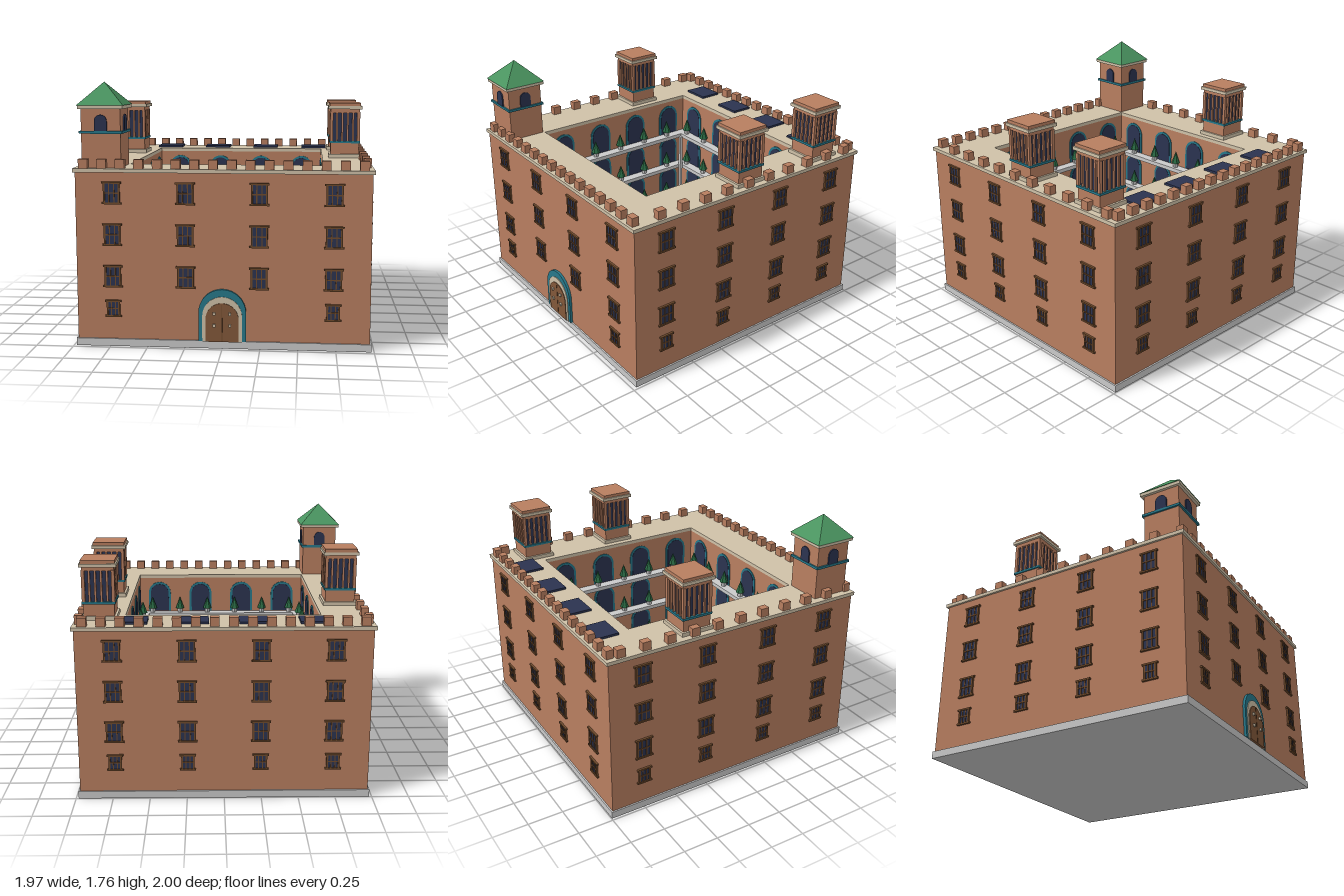
import * as THREE from 'three';

const mat = (name, color) => {
  const m = new THREE.MeshStandardMaterial({ color });
  m.name = name;
  m.flatShading = true;
  return m;
};
const brick = mat('terracotta', 0xb87e60);
const cream = mat('cream stone', 0xcfc1a8);
const grey = mat('pale grey stone', 0xcacaca);
const teal = mat('teal trim', 0x27788a);
const navy = mat('navy glass', 0x2b3350);
const green = mat('leaf green', 0x4a9460);
const dark = mat('dark green', 0x2a6a44);
const bronze = mat('window brown', 0x6e4a2c);
const wood = mat('door wood', 0x82583a);

function add(parent, name, geo, material, x = 0, y = 0, z = 0) {
  const m = new THREE.Mesh(geo, material);
  m.name = name;
  m.position.set(x, y, z);
  parent.add(m);
  return m;
}

function group(parent, name, x = 0, y = 0, z = 0, turn = 0) {
  const g = new THREE.Group();
  g.name = name;
  g.position.set(x, y, z);
  g.rotation.y = turn;
  parent.add(g);
  return g;
}

// box given by its centre in x and z and its bottom and top heights
const slab = (p, name, m, x, z, w, d, y0, y1) =>
  add(p, name, new THREE.BoxGeometry(w, y1 - y0, d), m, x, (y0 + y1) / 2, z);

// square ring seen from above, with half sizes
function ring(p, name, m, outer, inner, y0, y1) {
  const square = (C, h) => new C([[-h, -h], [h, -h], [h, h], [-h, h]].map(([x, y]) => new THREE.Vector2(x, y)));
  const shape = square(THREE.Shape, outer);
  shape.holes.push(square(THREE.Path, inner));
  const geo = new THREE.ExtrudeGeometry(shape, { depth: y1 - y0, bevelEnabled: false });
  geo.rotateX(-Math.PI / 2);
  return add(p, name, geo, m, 0, y0, 0);
}

// round-headed plate standing on y = 0, facing +z
function arch(half, spring, depth) {
  const s = new THREE.Shape();
  s.moveTo(-half, 0);
  s.lineTo(half, 0);
  s.lineTo(half, spring);
  s.absarc(0, spring, half, 0, Math.PI, false);
  s.closePath();
  return new THREE.ExtrudeGeometry(s, { depth, bevelEnabled: false, curveSegments: 8 });
}

// barred window on a wall facing +z
function barredWindow(p, x, y, z, w, h) {
  const g = group(p, 'barredWindow', x, y, z);
  add(g, 'pane', new THREE.BoxGeometry(w, h, 0.008), navy, 0, 0, 0.004);
  for (const s of [-1, 1]) {
    add(g, 'lintelOrSill', new THREE.BoxGeometry(w + 0.024, 0.012, 0.015), bronze, 0, s * h / 2, 0.0075);
    add(g, 'jamb', new THREE.BoxGeometry(0.012, h, 0.013), bronze, s * (w / 2 - 0.004), 0, 0.0065);
    add(g, 'bar', new THREE.BoxGeometry(0.007, h, 0.012), bronze, s * w * 0.16, 0, 0.006);
  }
  add(g, 'crossBar', new THREE.BoxGeometry(w, 0.008, 0.013), bronze, 0, 0, 0.0065);
}

function pottedShrub(p, x, y, z) {
  const g = group(p, 'pottedShrub', x, y, z);
  add(g, 'pot', new THREE.CylinderGeometry(0.026, 0.02, 0.035, 6), grey, 0, 0.0175, 0);
  const cone = add(g, 'shrub', new THREE.ConeGeometry(0.034, 0.095, 6), dark, 0, 0.082, 0);
  cone.rotation.y = Math.PI / 6;
}

function tree(p, x, z) {
  const g = group(p, 'tree', x, 0.055, z, Math.PI / 6);
  add(g, 'trunk', new THREE.CylinderGeometry(0.02, 0.025, 0.12, 6), bronze, 0, 0.06, 0);
  add(g, 'canopy', new THREE.CylinderGeometry(0.08, 0.154, 0.15, 6), green, 0, 0.19, 0);
}

function palm(p, x, z) {
  const g = group(p, 'palm', x, 0.055, z);
  add(g, 'palmTrunk', new THREE.CylinderGeometry(0.01, 0.015, 0.2, 6), wood, 0, 0.1, 0);
  for (let i = 0; i < 6; i++) {
    const leaf = group(g, 'palmLeaf', 0, 0.2, 0, i * Math.PI / 3);
    add(leaf, 'leaf', new THREE.BoxGeometry(0.15, 0.01, 0.027), green, 0.095, -0.015, 0).rotation.z = -0.2;
  }
}

// open lantern with columns around a dark core
function lantern(p, x, z) {
  const g = group(p, 'lantern', x, 0, z);
  slab(g, 'lanternFoot', cream, 0, 0, 0.235, 0.235, 1.19, 1.222);
  slab(g, 'lanternBase', brick, 0, 0, 0.205, 0.205, 1.222, 1.303);
  slab(g, 'lanternBand', teal, 0, 0, 0.222, 0.222, 1.303, 1.319);
  slab(g, 'lanternCore', navy, 0, 0, 0.185, 0.185, 1.319, 1.53);
  slab(g, 'lanternBeam', brick, 0, 0, 0.212, 0.212, 1.525, 1.552);
  slab(g, 'lanternCornice', cream, 0, 0, 0.245, 0.245, 1.552, 1.574);
  slab(g, 'lanternCap', brick, 0, 0, 0.226, 0.226, 1.574, 1.596);
  for (let k = 0; k < 4; k++) {
    const side = group(g, 'columnRow', 0, 0, 0, k * Math.PI / 2);
    for (let i = 0; i < 5; i++) {
      const w = i ? 0.014 : 0.022;
      slab(side, 'column', brick, -0.098 + i * 0.0392, 0.098, w, w, 1.319, 1.53);
    }
  }
}

export function createModel() {
  const model = new THREE.Group();
  model.name = 'courtyardPalace';
  const g = group(model, 'palace', 0, 0, -0.013);
  const WALL = 0.972, COURT = 0.66;

  // main block
  slab(g, 'plinth', grey, 0, 0, 1.966, 1.966, 0, 0.05);
  ring(g, 'walls', brick, WALL, COURT, 0.05, 1.17);
  ring(g, 'roofTerrace', cream, 0.986, COURT, 1.17, 1.195);
  slab(g, 'lawn', green, 0, 0, 1.32, 1.32, 0.045, 0.056);

  // outer windows and courtyard arches on four sides
  for (let k = 0; k < 4; k++) {
    const side = group(g, 'facade', 0, 0, 0, k * Math.PI / 2);
    [1.035, 0.757, 0.477, 0.258].forEach((y, row) => {
      for (let i = 0; i < 4; i++) {
        if (k === 0 && row === 3 && (i === 1 || i === 2)) continue;
        const small = row === 3;
        barredWindow(side, -0.729 + i * 0.486, y, WALL, small ? 0.085 : 0.106, small ? 0.103 : 0.136);
      }
    });
    for (let floor = 0; floor < 4; floor++) {
      for (let i = 0; i < 4; i++) {
        const a = group(side, 'courtArch', -0.5025 + i * 0.335, 0.055 + floor * 0.28, -COURT);
        add(a, 'archRim', arch(0.09, 0.15, 0.006), teal);
        add(a, 'archOpening', arch(0.073, 0.15, 0.009), navy);
      }
    }
  }

  // galleries with potted shrubs
  for (const y of [0.33, 0.61, 0.89]) {
    ring(g, 'gallery', grey, COURT, 0.588, y - 0.03, y);
    for (const s of [-1, 1]) {
      for (let i = 0; i < 6; i++) pottedShrub(g, -0.56 + i * 0.224, y, s * 0.628);
      for (let i = 0; i < 5; i++) pottedShrub(g, s * 0.628, y, -0.466 + i * 0.233);
    }
  }

  // battlements
  for (const s of [-1, 1]) {
    for (let i = 0; i < 16; i++) slab(g, 'merlon', brick, -0.919 + i * 0.1225, s * 0.945, 0.062, 0.05, 1.195, 1.255);
    for (let i = 0; i < 10; i++) slab(g, 'merlon', brick, s * 0.947, -0.877 + i * 0.1816, 0.05, 0.062, 1.195, 1.255);
  }

  // roof panels
  for (let i = 0; i < 4; i++) slab(g, 'roofPanel', navy, -0.6 + i * 0.4, -0.827, 0.2, 0.16, 1.19, 1.21);

  // lanterns
  lantern(g, 0.823, -0.686);
  lantern(g, 0.823, -0.004);
  lantern(g, -0.823, -0.3);

  // corner tower
  const t = group(g, 'cornerTower', -0.802, 0, 0.802);
  slab(t, 'towerBody', brick, 0, 0, 0.262, 0.262, 1.19, 1.585);
  slab(t, 'towerBand', teal, 0, 0, 0.286, 0.286, 1.42, 1.437);
  slab(t, 'towerCornice', cream, 0, 0, 0.3, 0.3, 1.582, 1.605);
  const roof = new THREE.ConeGeometry(0.155 * Math.SQRT2, 0.152, 4);
  roof.rotateY(Math.PI / 4);
  add(t, 'towerRoof', roof, green, 0, 1.681, 0);
  for (let k = 0; k < 4; k++) {
    const side = group(t, 'towerSide', 0, 0, 0, k * Math.PI / 2);
    add(side, 'towerWindow', arch(0.042, 0.065, 0.009), navy, 0, 1.437, 0.131);
  }

  // entrance
  const door = group(g, 'entrance', 0, 0.05, WALL);
  add(door, 'outerArch', arch(0.158, 0.195, 0.018), teal);
  add(door, 'innerArch', arch(0.132, 0.172, 0.023), cream);
  add(door, 'doorLeaf', arch(0.11, 0.152, 0.028), wood);
  add(door, 'doorSeam', new THREE.BoxGeometry(0.004, 0.25, 0.003), bronze, 0, 0.127, 0.0285);
  for (const x of [-0.052, 0.052]) {
    for (const y of [0.112, 0.192]) add(door, 'doorStud', new THREE.BoxGeometry(0.018, 0.018, 0.013), cream, x, y, 0.0335);
  }

  // garden
  for (const [x, z] of [[0, 1], [0, -1], [1, 0], [-1, 0]]) tree(g, x * 0.417, z * 0.417);
  for (const s of [-1, 1]) {
    palm(g, s * 0.552, -s * 0.552);
    slab(g, 'lampPost', grey, s * 0.574, s * 0.574, 0.022, 0.022, 0.055, 0.87);
  }

  // fountain
  const f = group(g, 'fountain', 0, 0.055, 0, Math.PI / 8);
  const rim = [[0.078, 0.02], [0.097, 0], [0.097, 0.05], [0.078, 0.05], [0.078, 0.02]].map(([x, y]) => new THREE.Vector2(x, y));
  add(f, 'basinRim', new THREE.LatheGeometry(rim, 8), grey);
  add(f, 'water', new THREE.CylinderGeometry(0.08, 0.08, 0.035, 8), teal, 0, 0.0175, 0);
  add(f, 'pillar', new THREE.CylinderGeometry(0.015, 0.02, 0.13, 8), grey, 0, 0.065, 0);
  add(f, 'bowl', new THREE.CylinderGeometry(0.052, 0.02, 0.025, 8), grey, 0, 0.1, 0);
  return model;
}
